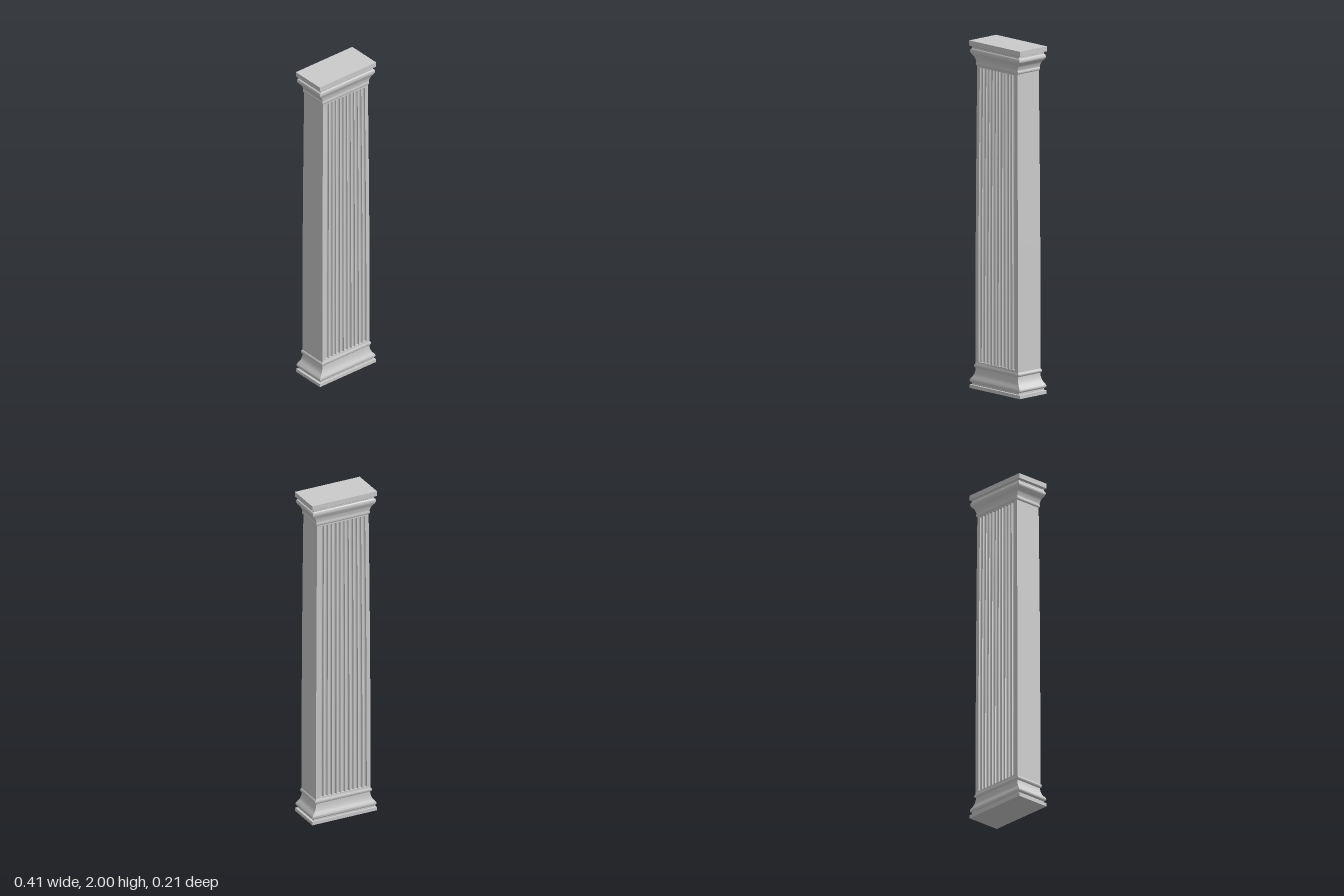
import * as THREE from 'three';
import { toCreasedNormals } from 'three/addons/utils/BufferGeometryUtils.js';

const RATIO = 0.509;                 // depth / width of the pilaster
const Y0 = 0.155, Y1 = 1.85;         // ends of the fluted shaft
const W = 0.173, D = W * RATIO;      // half width and half depth at the foot
const FLUTES = 11, R = 0.011, SPAN = 0.149;

const material = new THREE.MeshStandardMaterial({ color: 0xcccccc });

// Moulding with a rectangular plan: a four-sided lathe, squashed in depth
function moulding(name, profile) {
  const points = profile.map(([r, y]) => new THREE.Vector2(r * Math.SQRT2, y));
  const geometry = new THREE.LatheGeometry(points, 4, Math.PI / 4);
  geometry.scale(1, 1, RATIO);
  const mesh = new THREE.Mesh(toCreasedNormals(geometry, 0.6), material);
  mesh.name = name;
  return mesh;
}

// Points on a quarter-like curve between two profile points, bent towards a control point
function curve(a, control, b, n = 6) {
  const v = (p) => new THREE.Vector2(...p);
  return new THREE.QuadraticBezierCurve(v(a), v(control), v(b)).getPoints(n).map((p) => [p.x, p.y]);
}

// Rectangular shaft with concave flutes on front and back, narrowing upwards
function flutedShaft() {
  const shape = new THREE.Shape();
  const pitch = (2 * (SPAN - R)) / (FLUTES - 1);
  shape.moveTo(-W, -D);
  for (let i = 0; i < FLUTES; i++) {
    const c = -SPAN + R + i * pitch;
    shape.lineTo(c - R, -D);
    shape.absarc(c, -D, R, Math.PI, 0, true);
  }
  shape.lineTo(W, -D);
  shape.lineTo(W, D);
  for (let i = FLUTES - 1; i >= 0; i--) {
    const c = -SPAN + R + i * pitch;
    shape.lineTo(c + R, D);
    shape.absarc(c, D, R, 0, -Math.PI, true);
  }
  shape.lineTo(-W, D);
  shape.closePath();

  const geometry = new THREE.ExtrudeGeometry(shape, {
    depth: Y1 - Y0, steps: 8, curveSegments: 8, bevelEnabled: false,
  });
  geometry.rotateX(-Math.PI / 2);
  // Gentle entasis
  const pos = geometry.attributes.position;
  for (let i = 0; i < pos.count; i++) {
    const t = pos.getY(i) / (Y1 - Y0);
    const s = 1 - 0.055 * t * t;
    pos.setXYZ(i, pos.getX(i) * s, pos.getY(i) + Y0, pos.getZ(i) * s);
  }
  const mesh = new THREE.Mesh(toCreasedNormals(geometry, 0.5), material);
  mesh.name = 'flutedShaft';
  return mesh;
}

export function createModel() {
  const group = new THREE.Group();
  group.name = 'pilaster';

  // Plinth, torus, sweeping cavetto and small upper bead
  const base = moulding('base', [
    [0, 0], [0.205, 0], [0.205, 0.02], [0.192, 0.022], [0.192, 0.032],
    ...curve([0.197, 0.034], [0.21, 0.045], [0.199, 0.055]),
    ...curve([0.196, 0.06], [0.173, 0.08], [0.171, 0.118]),
    ...curve([0.176, 0.121], [0.184, 0.13], [0.178, 0.139]),
    [W, 0.143], [W, Y0], [0, Y0],
  ]);

  // Neck, bead, flaring cyma and square abacus
  const neck = W * 0.945;
  const capital = moulding('capital', [
    [0, Y1], [neck, Y1], [neck, 1.858],
    ...curve([0.167, 1.86], [0.174, 1.868], [0.168, 1.878]),
    ...curve([0.169, 1.884], [0.174, 1.908], [0.192, 1.922]),
    ...curve([0.196, 1.928], [0.206, 1.938], [0.198, 1.952]),
    [0.191, 1.956], [0.191, 1.966],
    [0.206, 1.971], [0.206, 2], [0, 2],
  ]);

  group.add(base, flutedShaft(), capital);
  return group;
}
